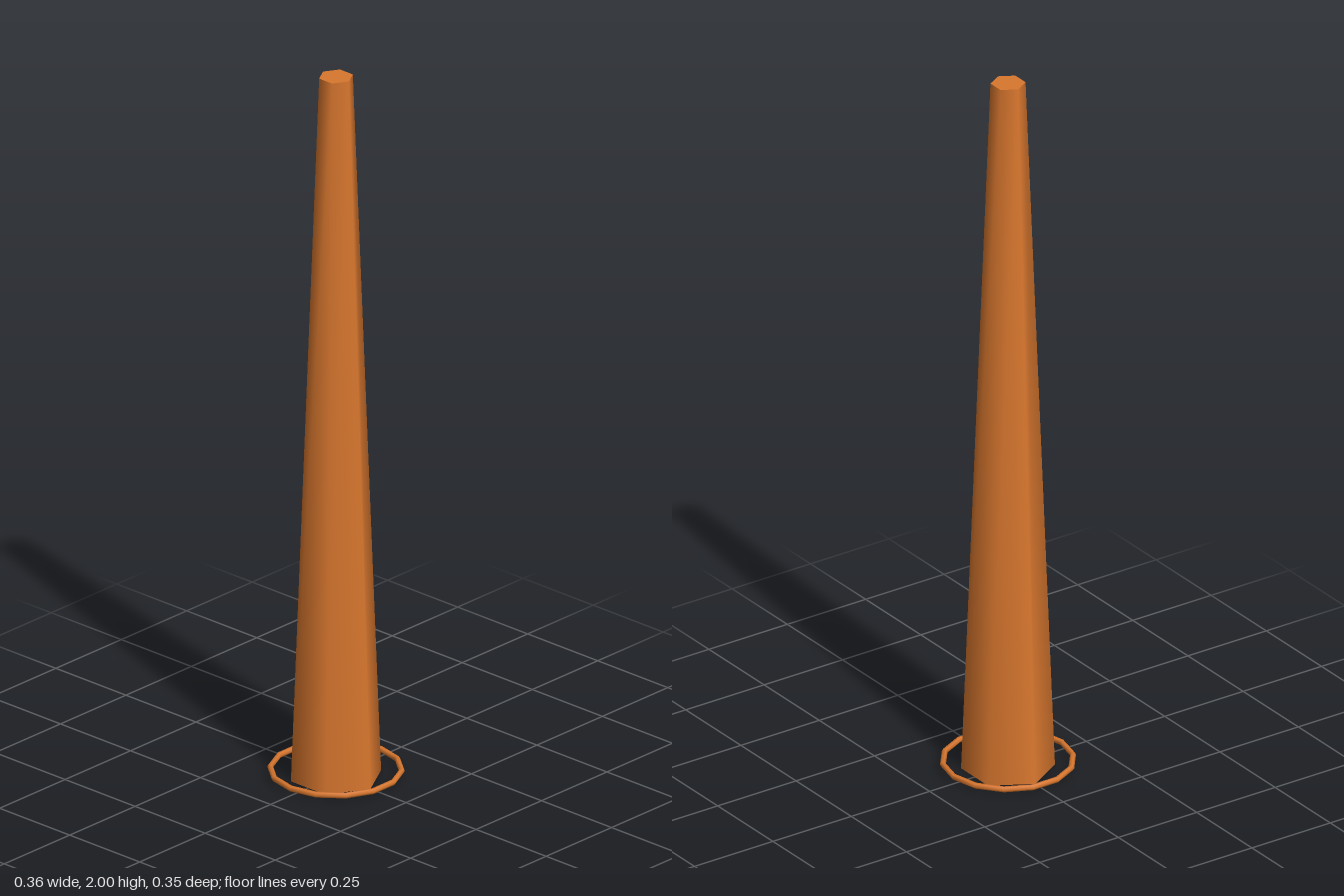
import * as THREE from 'three';

export function createModel() {
  const group = new THREE.Group();
  const orange = new THREE.MeshStandardMaterial({ color: 0xd9772e });
  orange.name = 'orange';

  // Tall tapering six-sided shaft, capped at both ends, corners on +z and -z
  const height = 2;
  const shaft = new THREE.Mesh(new THREE.CylinderGeometry(0.046, 0.123, height, 6), orange);
  shaft.name = 'shaft';
  shaft.position.y = height / 2;
  group.add(shaft);

  // Thin fourteen-sided ring floating around the foot
  const ring = new THREE.Mesh(new THREE.TorusGeometry(0.172, 0.008, 6, 14), orange);
  ring.name = 'baseRing';
  ring.rotation.x = Math.PI / 2;
  ring.position.y = 0.02;
  group.add(ring);

  return group;
}
